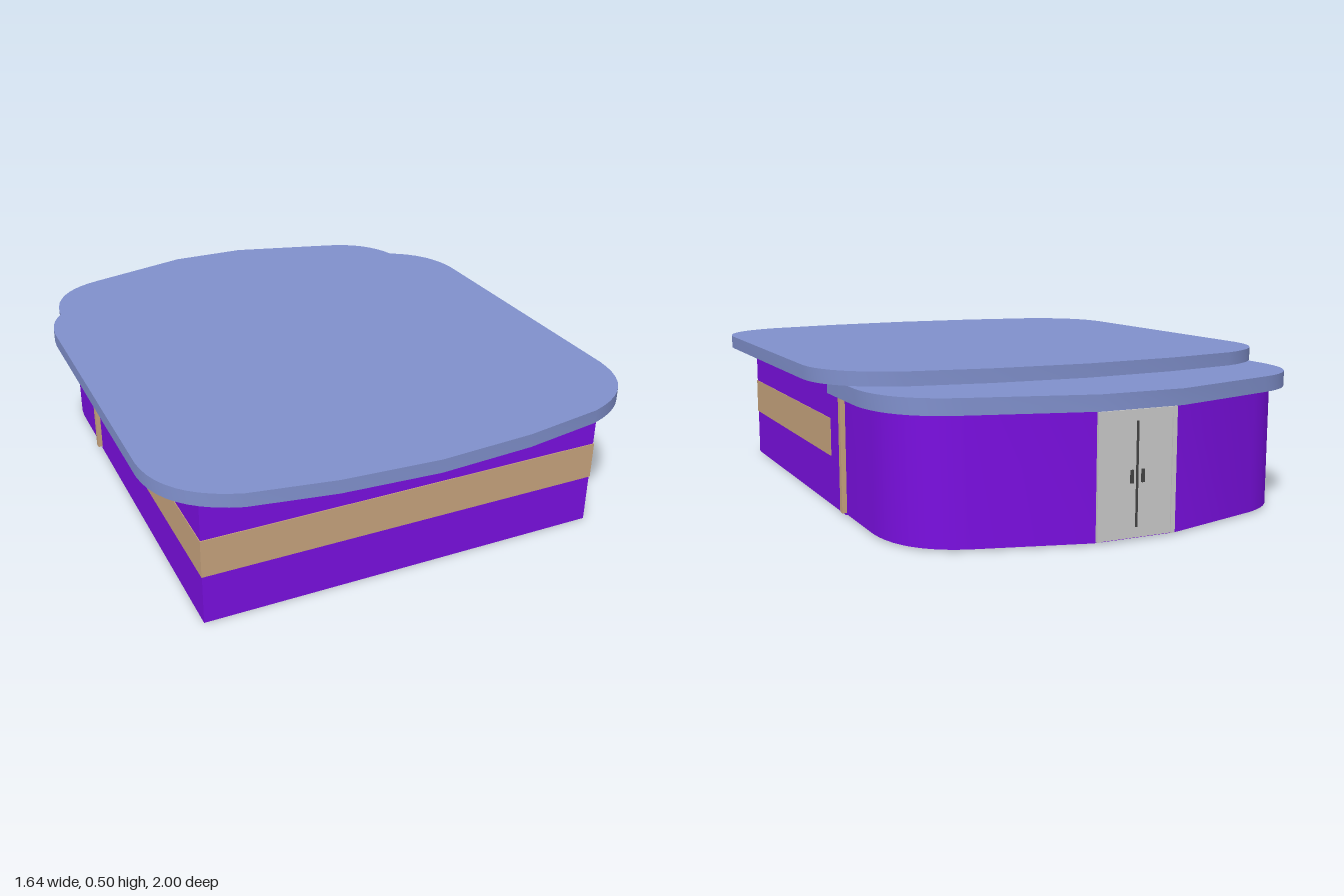
import * as THREE from 'three';
import { toCreasedNormals } from 'three/addons/utils/BufferGeometryUtils.js';

const material = (color) => new THREE.MeshStandardMaterial({ color });
const purple = material(0x7a0fe0);
const tan = material(0xc8a47e);
const blue = material(0x8090cc);
const grey = material(0xcccccc);
const dark = material(0x444444);

export function createModel() {
  const model = new THREE.Group();

  const add = (name, geometry, mat, parent = model) => {
    const mesh = new THREE.Mesh(geometry, mat);
    mesh.name = name;
    parent.add(mesh);
    return mesh;
  };

  // box given by its limits on each axis
  const box = (name, [x0, x1], [y0, y1], [z0, z1], mat, parent) => {
    const mesh = add(name, new THREE.BoxGeometry(x1 - x0, y1 - y0, z1 - z0), mat, parent);
    mesh.position.set((x0 + x1) / 2, (y0 + y1) / 2, (z0 + z1) / 2);
    return mesh;
  };

  // rounded corner in plan, as [x, z] points
  const corner = (a, c, b) =>
    new THREE.QuadraticBezierCurve(...[a, c, b].map((p) => new THREE.Vector2(...p)))
      .getPoints(10).map((p) => [p.x, p.y]);

  // slab from the +x half of a plan outline, mirrored to -x
  const slab = (name, half, y0, y1, mat) => {
    const mirrored = half.filter(([x]) => x > 0).reverse().map(([x, z]) => [-x, z]);
    const shape = new THREE.Shape([...half, ...mirrored].map(([x, z]) => new THREE.Vector2(x, -z)));
    const geometry = new THREE.ExtrudeGeometry(shape, { depth: y1 - y0, bevelEnabled: false });
    geometry.rotateX(-Math.PI / 2).translate(0, y0, 0);
    return add(name, toCreasedNormals(geometry, 0.5), mat);
  };

  // building: square front hall and rounded rear wing
  box('frontHall', [-0.69, 0.69], [0, 0.45], [-0.33, 0.82], purple);
  slab('rearWing', [
    [0.69, -0.33],
    ...corner([0.69, -0.6], [0.68, -0.81], [0.5, -0.87]),
    [0.14, -0.97],
  ], 0.005, 0.41, purple);

  // roofs
  slab('rearRoof', [
    [0.74, -0.32],
    ...corner([0.74, -0.6], [0.73, -0.84], [0.52, -0.895]),
    [0.14, -1],
  ], 0.4, 0.45, blue);
  slab('frontRoof', [
    [0, 0.995], [0.32, 0.975],
    ...corner([0.59, 0.93], [0.81, 0.86], [0.82, 0.65]),
    ...corner([0.82, -0.335], [0.81, -0.545], [0.59, -0.615]),
    [0.32, -0.66], [0, -0.68],
  ], 0.45, 0.495, blue);

  // band across the front and along both sides
  box('frontBand', [-0.692, 0.692], [0.168, 0.295], [0.81, 0.823], tan);
  for (const [side, s] of [['left', 1], ['right', -1]]) {
    const band = box(side + 'Band', [0.68, 0.692], [0.168, 0.295], [-0.185, 0.822], tan);
    const post = box(side + 'Post', [0.68, 0.706], [0.01, 0.45], [-0.343, -0.321], tan);
    band.position.x *= s;
    post.position.x *= s;
  }

  // double door at the back
  const door = new THREE.Group();
  door.name = 'rearDoor';
  model.add(door);
  box('doorPanel', [-0.135, 0.135], [0.008, 0.395], [-0.976, -0.96], grey, door);
  box('doorHead', [-0.135, 0.135], [0.375, 0.395], [-0.98, -0.97], grey, door);
  box('centreGap', [-0.004, 0.004], [0.04, 0.36], [-0.977, -0.97], dark, door);
  for (const s of [-1, 1]) {
    const jamb = box('doorJamb', [0.12, 0.135], [0.008, 0.375], [-0.98, -0.97], grey, door);
    jamb.position.x *= s;
    const handle = box('doorHandle', [0.014, 0.024], [0.175, 0.215], [-0.981, -0.97], dark, door);
    handle.position.x *= s;
  }

  return model;
}
